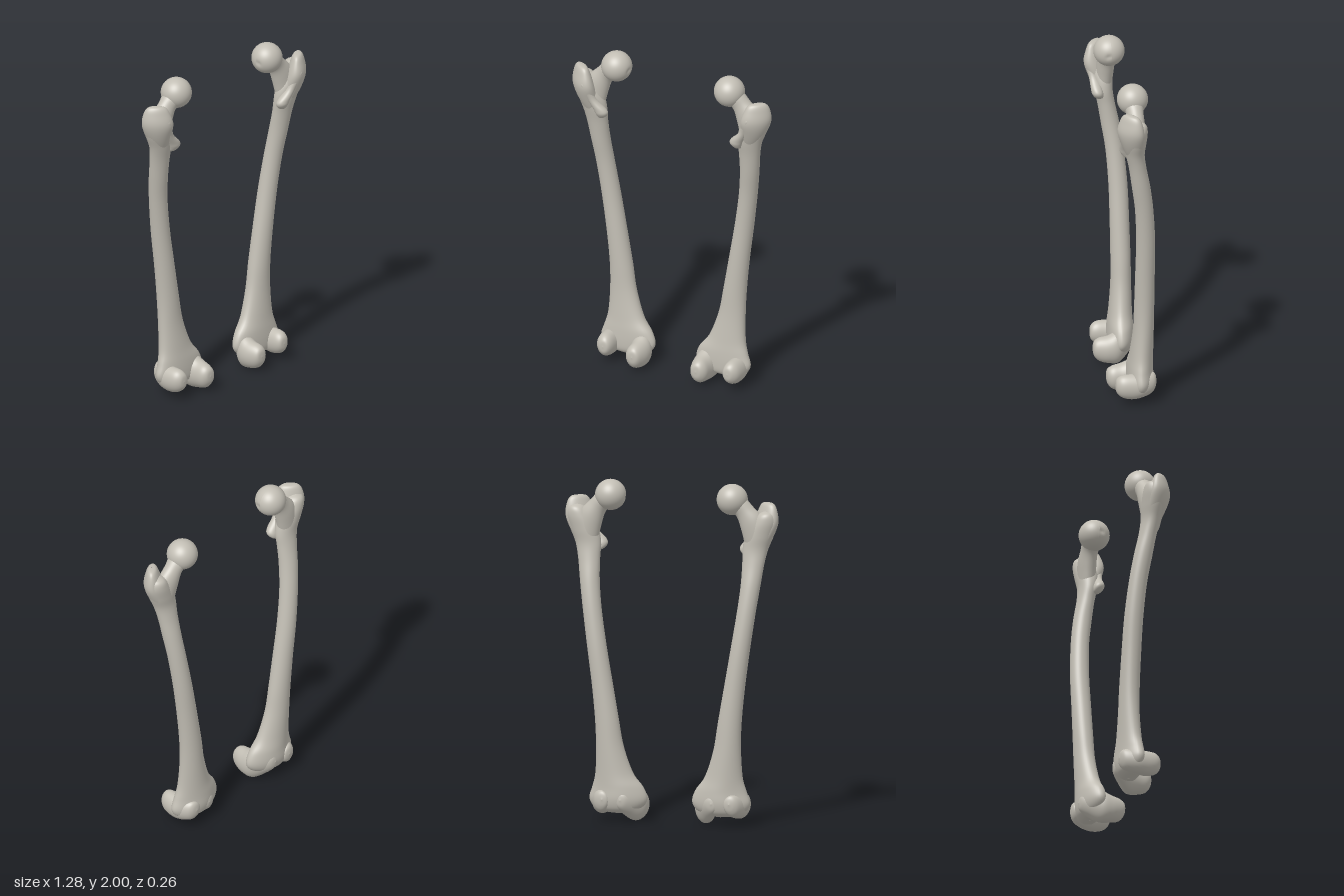
import * as THREE from 'three';

const bone = new THREE.MeshStandardMaterial({ color: 0xc2beb4 });
bone.name = 'bone';

const X = new THREE.Vector3(1, 0, 0);
const Y = new THREE.Vector3(0, 1, 0);
const Z = new THREE.Vector3(0, 0, 1);

// Closed smooth skin through rings [x, y, z, ru, rv, taper] lying in the u, v plane.
// Taper widens the ring towards +v and narrows it towards -v.
function loft(rings, u, v, sides = 40, steps = 6) {
  const curve = (pts) => new THREE.CatmullRomCurve3(pts, false, 'catmullrom', 0.5);
  const centres = curve(rings.map((r) => new THREE.Vector3(r[0], r[1], r[2])));
  const radii = curve(rings.map((r) => new THREE.Vector3(r[3], r[4], r[5] || 0)));
  const count = (rings.length - 1) * steps;
  const pos = [], index = [];
  const p = new THREE.Vector3(), r = new THREE.Vector3();
  for (let i = 0; i <= count; i++) {
    centres.getPoint(i / count, p);
    radii.getPoint(i / count, r);
    const ru = Math.max(r.x, 0.0005), rv = Math.max(r.y, 0.0005);
    for (let j = 0; j < sides; j++) {
      const a = (j / sides) * Math.PI * 2;
      const q = p.clone()
        .addScaledVector(u, ru * Math.cos(a) * (1 + r.z * Math.sin(a)))
        .addScaledVector(v, rv * Math.sin(a));
      pos.push(q.x, q.y, q.z);
    }
  }
  // Face outwards whichever way the path runs
  const a = rings[0], b = rings[rings.length - 1];
  const along = new THREE.Vector3(b[0] - a[0], b[1] - a[1], b[2] - a[2]);
  const outward = u.clone().cross(v).dot(along) > 0;
  for (let i = 0; i < count; i++) {
    for (let j = 0; j < sides; j++) {
      const k = (j + 1) % sides;
      const c = [i * sides + j, i * sides + k, (i + 1) * sides + k, (i + 1) * sides + j];
      if (outward) index.push(c[0], c[1], c[2], c[0], c[2], c[3]);
      else index.push(c[0], c[2], c[1], c[0], c[3], c[2]);
    }
  }
  const g = new THREE.BufferGeometry();
  g.setAttribute('position', new THREE.Float32BufferAttribute(pos, 3));
  g.setIndex(index);
  g.computeVertexNormals();
  return g;
}

// Bowed shaft, flaring at the knee: height, inner x, outer x, back z, front z, taper
function shaftGeometry() {
  const rows = [
    [0.045, 0.305, 0.315, -0.05, -0.04, 0],
    [0.055, 0.23, 0.4, -0.085, 0.0, 0.1],
    [0.08, 0.17, 0.455, -0.112, 0.02, 0.2],
    [0.13, 0.142, 0.478, -0.126, 0.025, 0.28],
    [0.2, 0.162, 0.46, -0.125, 0.022, 0.25],
    [0.285, 0.22, 0.442, -0.122, 0.012, 0.15],
    [0.44, 0.272, 0.436, -0.122, -0.002, 0.08],
    [0.6, 0.3, 0.441, -0.122, -0.005, 0],
    [0.8, 0.335, 0.46, -0.12, -0.006, 0],
    [1.03, 0.375, 0.49, -0.116, -0.005, 0],
    [1.24, 0.408, 0.519, -0.1, 0.007, 0],
    [1.4, 0.426, 0.542, -0.078, 0.03, 0],
    [1.53, 0.43, 0.56, -0.052, 0.05, 0],
    [1.62, 0.428, 0.58, -0.04, 0.07, 0],
    [1.7, 0.445, 0.612, -0.045, 0.085, 0],
    [1.78, 0.485, 0.634, -0.048, 0.09, 0],
    [1.83, 0.525, 0.62, -0.036, 0.07, 0],
    [1.85, 0.57, 0.58, 0.01, 0.02, 0],
  ];
  return loft(rows.map(([y, x0, x1, z0, z1, t]) =>
    [(x0 + x1) / 2, y, (z0 + z1) / 2, (x1 - x0) / 2, (z1 - z0) / 2, t]), X, Z);
}

// Ball of the hip with a small pit on its inner side
function headGeometry() {
  const g = new THREE.SphereGeometry(0.091, 48, 32);
  const pit = new THREE.Vector3(-1, -0.08, 0.2).normalize();
  const p = new THREE.Vector3(), pos = g.attributes.position;
  for (let i = 0; i < pos.count; i++) {
    p.fromBufferAttribute(pos, i);
    const d = p.angleTo(pit);
    p.multiplyScalar(1 - 0.09 * Math.exp(-((d / 0.16) ** 2)));
    pos.setXYZ(i, p.x, p.y, p.z);
  }
  g.computeVertexNormals();
  return g.translate(0.367, 1.909, 0.005);
}

function parts() {
  const neckAcross = new THREE.Vector3(0.8, 0.6, 0);
  const ridge = new THREE.Vector3(-0.76, 0, 0.65);
  const ridgeSide = new THREE.Vector3(0.65, 0, 0.76);
  return {
    shaft: shaftGeometry(),
    head: headGeometry(),
    neck: loft([
      [0.37, 1.91, 0.005, 0.06, 0.06], [0.41, 1.875, 0.005, 0.058, 0.056],
      [0.445, 1.838, 0.004, 0.057, 0.05], [0.485, 1.77, 0.006, 0.075, 0.053],
      [0.512, 1.68, 0.01, 0.08, 0.05], [0.51, 1.58, 0.005, 0.04, 0.035],
      [0.505, 1.54, 0, 0, 0],
    ], neckAcross, Z),
    greaterTrochanter: loft([
      [0.575, 1.895, 0.05, 0, 0], [0.572, 1.887, 0.05, 0.05, 0.024],
      [0.57, 1.85, 0.05, 0.076, 0.04], [0.562, 1.78, 0.05, 0.092, 0.056],
      [0.543, 1.7, 0.035, 0.076, 0.058], [0.51, 1.6, 0.012, 0.045, 0.045],
      [0.5, 1.52, 0, 0, 0],
    ], ridge, ridgeSide),
    lesserTrochanter: loft([
      [0.538, 1.83, 0.1, 0, 0], [0.53, 1.79, 0.1, 0.024, 0.024],
      [0.495, 1.7, 0.075, 0.027, 0.026], [0.449, 1.64, 0.064, 0.04, 0.032],
      [0.438, 1.61, 0.058, 0.038, 0.033], [0.444, 1.583, 0.048, 0.022, 0.022],
      [0.45, 1.572, 0.042, 0, 0],
    ], X, Z),
    innerCondyle: loft([
      [0.208, 0.1, 0.131, 0, 0], [0.208, 0.098, 0.124, 0.032, 0.042],
      [0.21, 0.092, 0.095, 0.052, 0.07], [0.206, 0.09, 0.04, 0.062, 0.084],
      [0.215, 0.1, -0.02, 0.066, 0.098], [0.25, 0.118, -0.08, 0.055, 0.074],
      [0.272, 0.128, -0.118, 0.034, 0.042], [0.275, 0.13, -0.128, 0, 0],
    ], X, Y),
    outerCondyle: loft([
      [0.405, 0.118, 0.113, 0, 0], [0.405, 0.118, 0.106, 0.03, 0.04],
      [0.41, 0.115, 0.075, 0.05, 0.067], [0.412, 0.11, 0.02, 0.057, 0.076],
      [0.41, 0.112, -0.04, 0.057, 0.072], [0.395, 0.122, -0.1, 0.048, 0.064],
      [0.385, 0.13, -0.125, 0.033, 0.042], [0.383, 0.132, -0.134, 0, 0],
    ], X, Y),
  };
}

// Mirror a geometry across x = 0, keeping its faces outward
function mirrored(source) {
  const g = source.clone().scale(-1, 1, 1);
  const ix = g.index;
  for (let i = 0; i < ix.count; i += 3) {
    const b = ix.getX(i + 1);
    ix.setX(i + 1, ix.getX(i + 2));
    ix.setX(i + 2, b);
  }
  g.computeVertexNormals();
  return g;
}

export function createModel() {
  const model = new THREE.Group();
  model.name = 'thighBones';
  const geometries = parts();
  for (const side of ['left', 'right']) {
    const group = new THREE.Group();
    group.name = side + 'ThighBone';
    for (const [name, g] of Object.entries(geometries)) {
      const mesh = new THREE.Mesh(side === 'left' ? g : mirrored(g), bone);
      mesh.name = name;
      group.add(mesh);
    }
    model.add(group);
  }
  return model;
}
